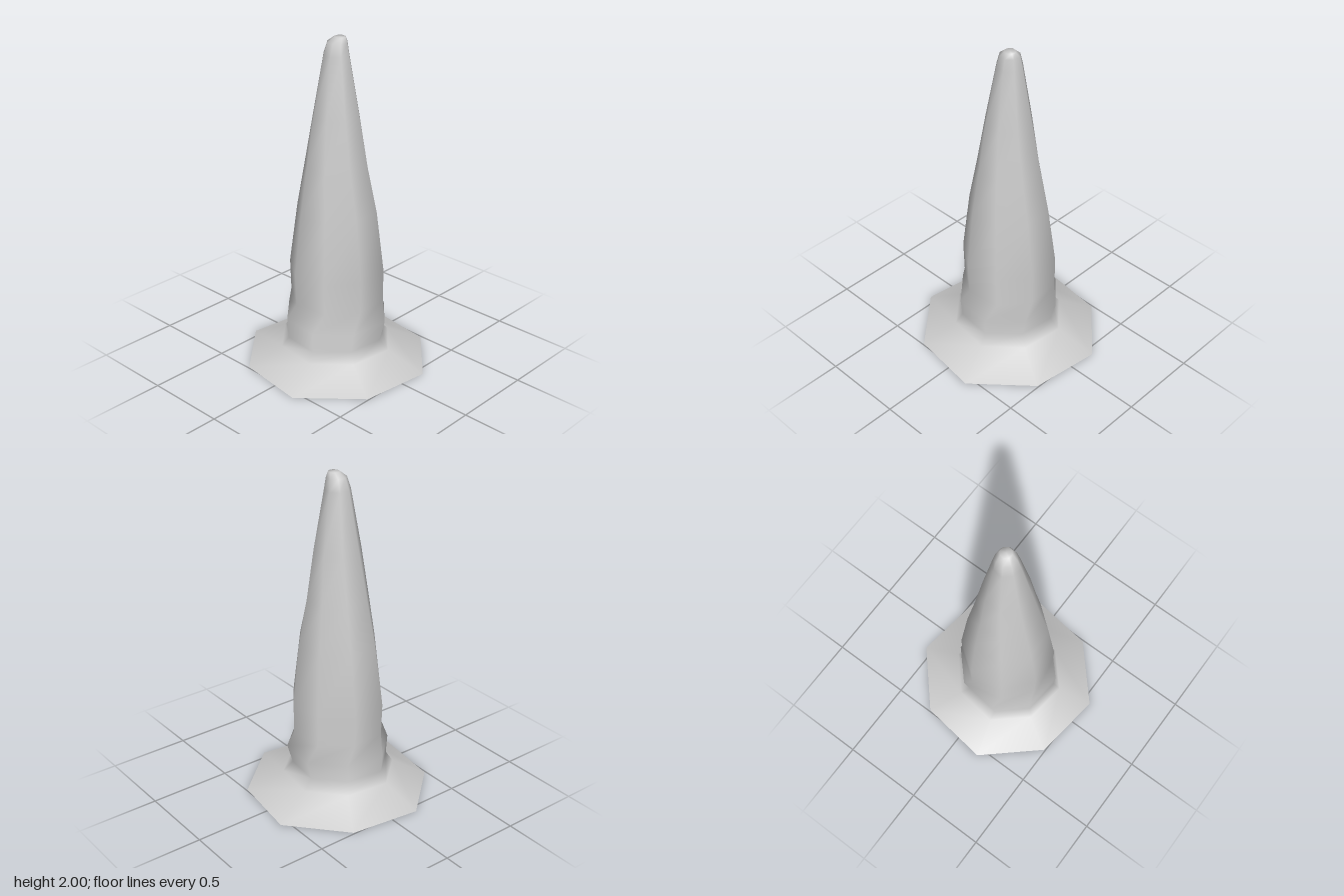
import * as THREE from 'three';

const SIDES = 8;

// Rings from foot to tip: height, radius, twist in degrees, centre x, centre z
const RINGS = [
  [0.00, 0.565, -17, 0, 0],
  [0.11, 0.345, -17, 0, 0.01],
  [0.17, 0.295, -18, 0, 0.02],
  [0.29, 0.315, -18, 0, 0.005],
  [0.41, 0.280, -29, 0, 0],
  [0.60, 0.283, -29, 0, 0.003],
  [0.97, 0.238, -27, 0.003, 0.003],
  [1.25, 0.188, -24, 0, 0.005],
  [1.55, 0.140, -20, 0, 0.003],
  [1.90, 0.077, -18, -0.003, 0],
  [1.97, 0.060, -18, 0, -0.005],
  [2.00, 0.034, -18, 0.01, -0.015],
];

function ringPoint([y, r, twist, cx, cz], i) {
  // Corners alternate slightly in reach, so the outline is not quite regular
  const a = THREE.MathUtils.degToRad(twist) + (i / SIDES) * Math.PI * 2;
  const k = r * (i % 2 ? 0.985 : 1.015);
  return [cx + k * Math.cos(a), y, cz + k * Math.sin(a)];
}

function makeGeometry(points, index) {
  const g = new THREE.BufferGeometry();
  g.setAttribute('position', new THREE.Float32BufferAttribute(points.flat(), 3));
  g.setIndex(index);
  g.computeVertexNormals();
  return g;
}

export function createModel() {
  const group = new THREE.Group();
  group.name = 'cone';
  const material = new THREE.MeshStandardMaterial({ color: 0xcccccc });

  // Flared foot, bulge, tapering body and blunt tip as one smooth skin
  const points = [];
  const index = [];
  RINGS.forEach((ring, j) => {
    for (let i = 0; i < SIDES; i++) {
      points.push(ringPoint(ring, i));
      if (j === RINGS.length - 1) continue;
      const n = (i + 1) % SIDES;
      const a = j * SIDES + i, b = j * SIDES + n;
      index.push(a, a + SIDES, b, b, a + SIDES, b + SIDES);
    }
  });
  const last = (RINGS.length - 1) * SIDES;
  points.push([0.01, 2.0, -0.015]);
  for (let i = 0; i < SIDES; i++) {
    index.push(points.length - 1, last + ((i + 1) % SIDES), last + i);
  }
  const body = new THREE.Mesh(makeGeometry(points, index), material);
  body.name = 'coneBody';
  group.add(body);

  // Flat underside
  const basePoints = [[0, 0, 0]];
  const baseIndex = [];
  for (let i = 0; i < SIDES; i++) {
    basePoints.push(ringPoint(RINGS[0], i));
    baseIndex.push(0, i + 1, ((i + 1) % SIDES) + 1);
  }
  const base = new THREE.Mesh(makeGeometry(basePoints, baseIndex), material);
  base.name = 'underside';
  group.add(base);

  return group;
}
